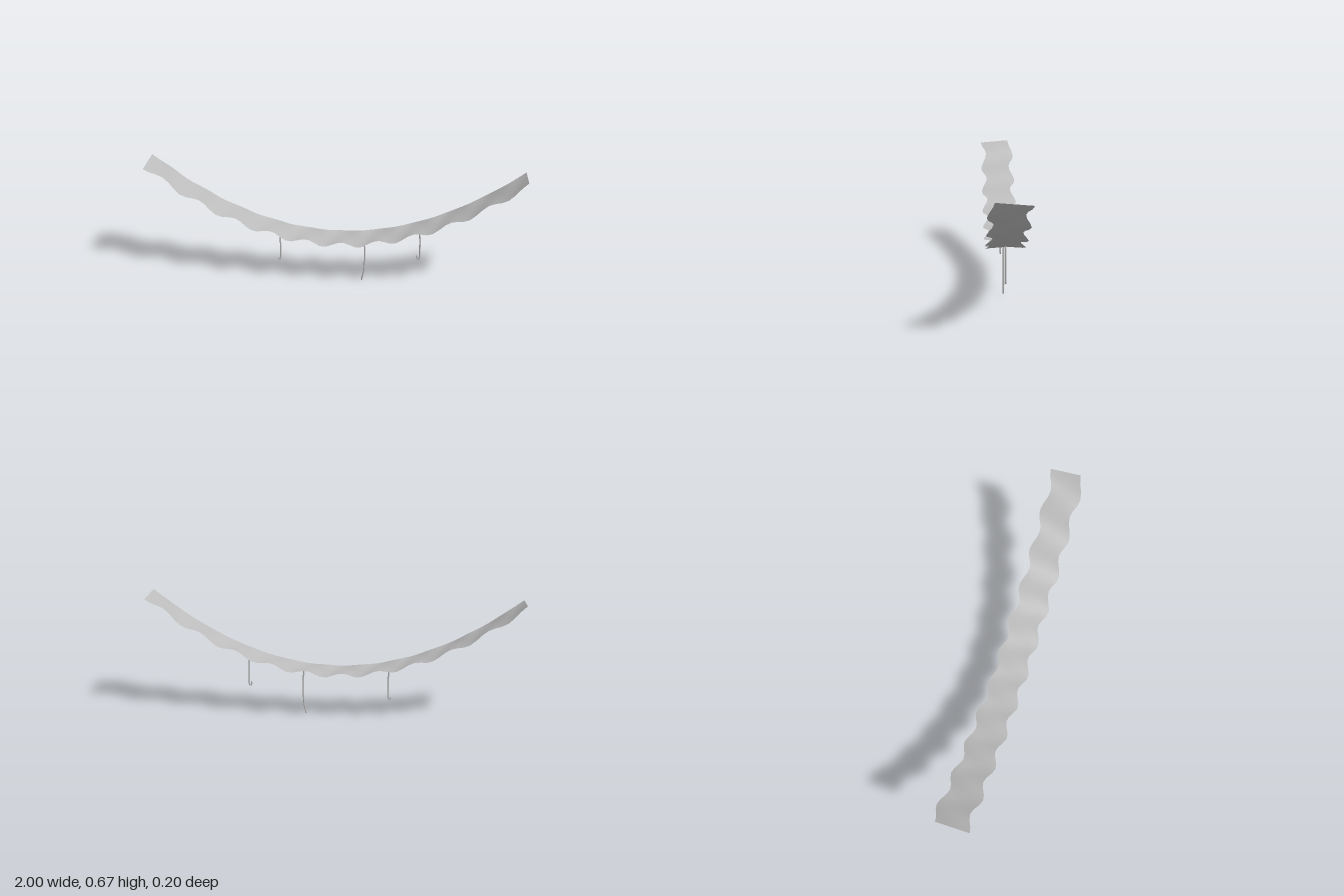
import * as THREE from 'three';

const grey = new THREE.MeshStandardMaterial({ color: 0xbcbcbc, side: THREE.DoubleSide });
grey.name = 'pale grey';

// Sagging ribbon: a plane bent to a parabola, swaying sideways and twisting along its length
function makeRibbon() {
  const geo = new THREE.PlaneGeometry(2, 0.17, 64, 4);
  geo.rotateX(-Math.PI / 2);
  const p = geo.attributes.position;
  for (let i = 0; i < p.count; i++) {
    const x = p.getX(i), z = p.getZ(i);
    const wave = Math.cos((x + 1) * Math.PI * 10.5);
    const y = 0.257 + 0.403 * x * x - 0.007 * wave * (z / 0.085);
    p.setXYZ(i, x, y, z + 0.016 * wave);
  }
  geo.computeVertexNormals();
  const mesh = new THREE.Mesh(geo, grey);
  mesh.name = 'ribbon';
  return mesh;
}

// Thin hanging tendril through a few points in the x-y plane
function makeTendril(name, points) {
  const path = new THREE.CatmullRomCurve3(points.map(([x, y]) => new THREE.Vector3(x, y, 0)));
  const group = new THREE.Group();
  group.name = name;
  group.add(new THREE.Mesh(new THREE.TubeGeometry(path, 32, 0.0042, 8), grey));
  // Rounded lower tip
  const tip = new THREE.Mesh(new THREE.SphereGeometry(0.0042, 8, 6), grey);
  tip.position.copy(path.getPoint(1));
  group.add(tip);
  return group;
}

export function createModel() {
  const model = new THREE.Group();
  model.name = 'hangingRibbon';
  model.add(
    makeRibbon(),
    makeTendril('rightTendril', [[-0.303, 0.292], [-0.297, 0.24], [-0.296, 0.17], [-0.299, 0.108], [-0.304, 0.1], [-0.31, 0.11]]),
    makeTendril('middleTendril', [[0.163, 0.268], [0.169, 0.2], [0.17, 0.12], [0.165, 0.05], [0.155, 0.004]]),
    makeTendril('leftTendril', [[0.459, 0.341], [0.466, 0.29], [0.469, 0.22], [0.468, 0.157], [0.462, 0.15], [0.455, 0.172]]),
  );
  return model;
}
